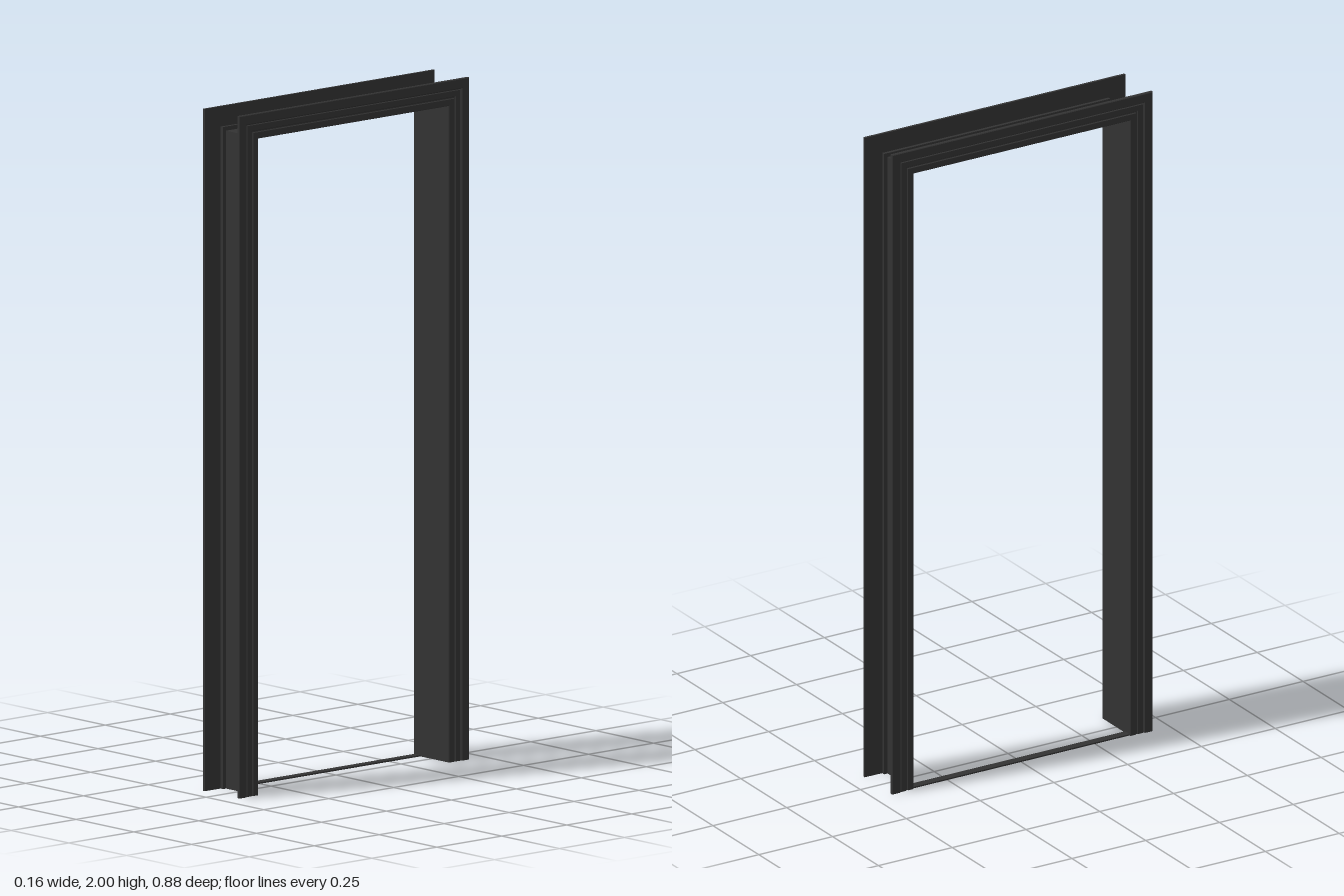
import * as THREE from 'three';

const HALF = 0.367;  // half width of the opening
const TOP = 1.925;   // height of the opening
const material = new THREE.MeshStandardMaterial({ color: 0x333333 });

// One half of the cross-section: [x, distance outward from the opening]
const half = [
  [0.075, 0], [0.077, 0.002], [0.077, 0.019], [0.074, 0.021], [0.074, 0.024],
  [0.077, 0.026], [0.077, 0.042], [0.074, 0.044], [0.08, 0.048], [0.08, 0.073],
  [0.078, 0.075], [0.07, 0.075], [0.069, 0.016], [0.059, 0.016], [0.059, 0.004],
];

// Sweep the section up one side, across the head and down the other, with mitred corners
function sweepFrame(section) {
  const stations = [
    d => [0, HALF + d], d => [TOP + d, HALF + d],
    d => [TOP + d, -HALF - d], d => [0, -HALF - d],
  ];
  const rings = stations.map(at => section.map(([x, d]) => [x, ...at(d)]));
  const pos = [];
  const n = section.length;
  for (let s = 0; s < 3; s++) {
    for (let i = 0; i < n; i++) {
      const j = (i + 1) % n;
      const a = rings[s][i], b = rings[s][j], c = rings[s + 1][j], e = rings[s + 1][i];
      pos.push(...a, ...c, ...b, ...a, ...e, ...c);
    }
  }
  // Flat feet
  const faces = THREE.ShapeUtils.triangulateShape(section.map(p => new THREE.Vector2(...p)), []);
  for (const [a, b, c] of faces) {
    pos.push(...rings[0][a], ...rings[0][b], ...rings[0][c]);
    pos.push(...rings[3][a], ...rings[3][c], ...rings[3][b]);
  }
  const geo = new THREE.BufferGeometry();
  geo.setAttribute('position', new THREE.Float32BufferAttribute(pos, 3));
  geo.computeVertexNormals();
  return geo;
}

export function createModel() {
  const group = new THREE.Group();
  group.name = 'doorFrame';

  // Jamb lining with a moulded casing on both faces
  const section = [...half, ...half.map(([x, d]) => [-x, d]).reverse()];
  const frameMaterial = material.clone();
  frameMaterial.side = THREE.DoubleSide;
  const frame = new THREE.Mesh(sweepFrame(section), frameMaterial);
  frame.name = 'jambAndCasing';
  group.add(frame);

  // Thin threshold strip near one face
  const strip = new THREE.Mesh(new THREE.BoxGeometry(0.025, 0.004, HALF * 2), material);
  strip.position.set(-0.06, 0.002, 0);
  strip.name = 'thresholdStrip';
  group.add(strip);

  return group;
}
